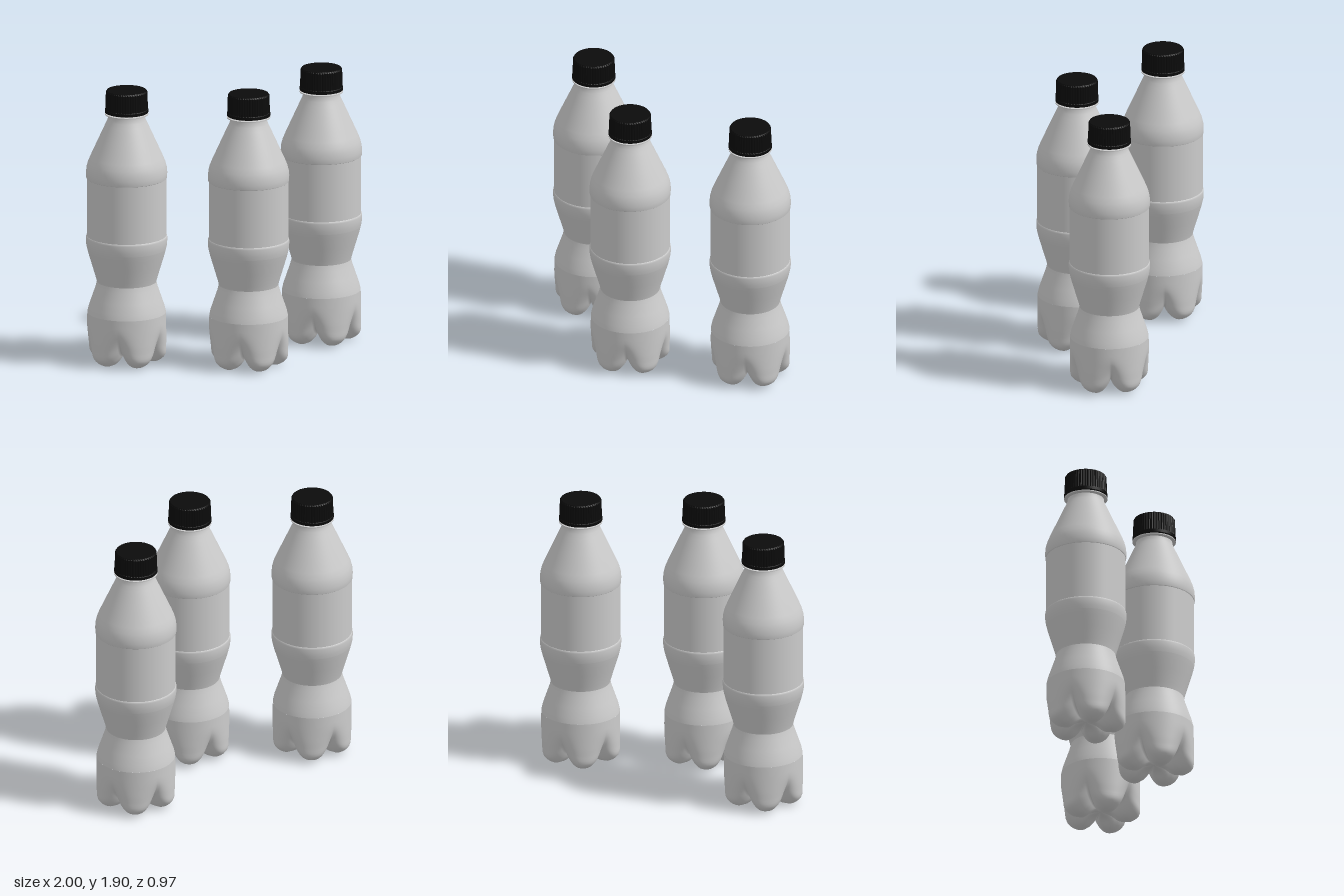
import * as THREE from 'three';
import { mergeVertices } from 'three/addons/utils/BufferGeometryUtils.js';

const plastic = new THREE.MeshStandardMaterial({ color: 0xcbcbcb });
plastic.name = 'pale grey plastic';
const black = new THREE.MeshStandardMaterial({ color: 0x0b0b0b });
black.name = 'black cap plastic';

// Profiles are [radius, height] pairs running upwards
const lathe = (pts, segments = 64) =>
  new THREE.LatheGeometry(pts.map(([r, y]) => new THREE.Vector2(r, y)), segments);

// Smooths a list of control points into a denser profile
function smooth(pts, count) {
  const curve = new THREE.CatmullRomCurve3(pts.map(([r, y]) => new THREE.Vector3(r, y, 0)), false, 'centripetal');
  return curve.getPoints(count).map((p) => [Math.max(p.x, 0), Math.max(p.y, 0)]);
}

function reweld(geo) {
  geo.deleteAttribute('uv');
  geo.deleteAttribute('normal');
  const welded = mergeVertices(geo, 1e-5);
  welded.computeVertexNormals();
  return welded;
}

// Five-footed base: blends between a foot profile and a groove profile around the axis
function baseGeometry() {
  const foot = smooth([[0, 0.07], [0.07, 0.05], [0.13, 0.004], [0.2, 0], [0.262, 0.045],
    [0.269, 0.12], [0.269, 0.22], [0.267, 0.35]], 28);
  const groove = smooth([[0, 0.07], [0.05, 0.07], [0.1, 0.075], [0.14, 0.09], [0.195, 0.125],
    [0.238, 0.18], [0.265, 0.245], [0.267, 0.35]], 28);
  const geo = lathe(foot, 100);
  const pos = geo.attributes.position;
  for (let i = 0; i < pos.count; i++) {
    const row = i % foot.length;
    const angle = (Math.floor(i / foot.length) / 100) * Math.PI * 2;
    const t = Math.pow(1 - Math.abs(Math.cos(2.5 * angle)), 1.3);
    const r = THREE.MathUtils.lerp(foot[row][0], groove[row][0], t);
    const y = THREE.MathUtils.lerp(foot[row][1], groove[row][1], t);
    pos.setXYZ(i, r * Math.sin(angle), y, r * Math.cos(angle));
  }
  return reweld(geo);
}

// Cap with fine vertical grip ribs
function capGeometry() {
  const profile = [[0, 1.752], [0.147, 1.752], [0.147, 1.772], [0.145, 1.776],
    [0.141, 1.895], [0.134, 1.905], [0, 1.905]];
  const segments = 144;
  const geo = lathe(profile, segments);
  const pos = geo.attributes.position;
  for (let i = 0; i < pos.count; i++) {
    const row = i % profile.length;
    const column = Math.floor(i / profile.length);
    if ((row === 3 || row === 4) && column % 3 === 0) {
      pos.setX(i, pos.getX(i) * 0.975);
      pos.setZ(i, pos.getZ(i) * 0.975);
    }
  }
  const flat = geo.toNonIndexed();
  flat.computeVertexNormals();
  return flat;
}

// Separate sections keep the moulded edges crisp
const parts = [
  ['footedBase', baseGeometry(), plastic],
  ['lowerWaist', lathe([[0.267, 0.35], [0.258, 0.39], [0.236, 0.455], [0.212, 0.525], [0.202, 0.565]]), plastic],
  ['upperWaist', lathe([[0.202, 0.565], [0.211, 0.6], [0.238, 0.69], [0.259, 0.76], [0.269, 0.8]]), plastic],
  ['lowerBumper', lathe([[0.269, 0.8], [0.274, 0.825], [0.276, 0.85], [0.276, 0.875], [0.274, 0.885], [0.27, 0.889]]), plastic],
  ['labelPanel', lathe([[0.27, 0.889], [0.27, 1.292]]), plastic],
  ['shoulder', lathe([[0.27, 1.292], [0.275, 1.296], [0.276, 1.33], [0.273, 1.365], [0.264, 1.4],
    [0.248, 1.44], [0.19, 1.568], [0.145, 1.667], [0.132, 1.695], [0.125, 1.715], [0.123, 1.732]]), plastic],
  ['neckFlangeUnderside', lathe([[0.123, 1.732], [0.147, 1.736]]), plastic],
  ['neckFlangeRim', lathe([[0.147, 1.736], [0.147, 1.743]]), plastic],
  ['neckFlangeTop', lathe([[0.147, 1.743], [0.128, 1.745]]), plastic],
  ['neck', lathe([[0.128, 1.745], [0.128, 1.76]]), plastic],
  ['cap', capGeometry(), black],
];

function createBottle(name) {
  const bottle = new THREE.Group();
  bottle.name = name;
  for (const [partName, geometry, material] of parts) {
    const mesh = new THREE.Mesh(geometry, material);
    mesh.name = partName;
    bottle.add(mesh);
  }
  return bottle;
}

export function createModel() {
  const model = new THREE.Group();
  model.name = 'threeBottles';
  const places = [['rightBottle', -0.724, -0.212], ['middleBottle', -0.005, 0.207], ['leftBottle', 0.722, -0.205]];
  for (const [name, x, z] of places) {
    const bottle = createBottle(name);
    bottle.position.set(x, 0, z);
    model.add(bottle);
  }
  return model;
}
